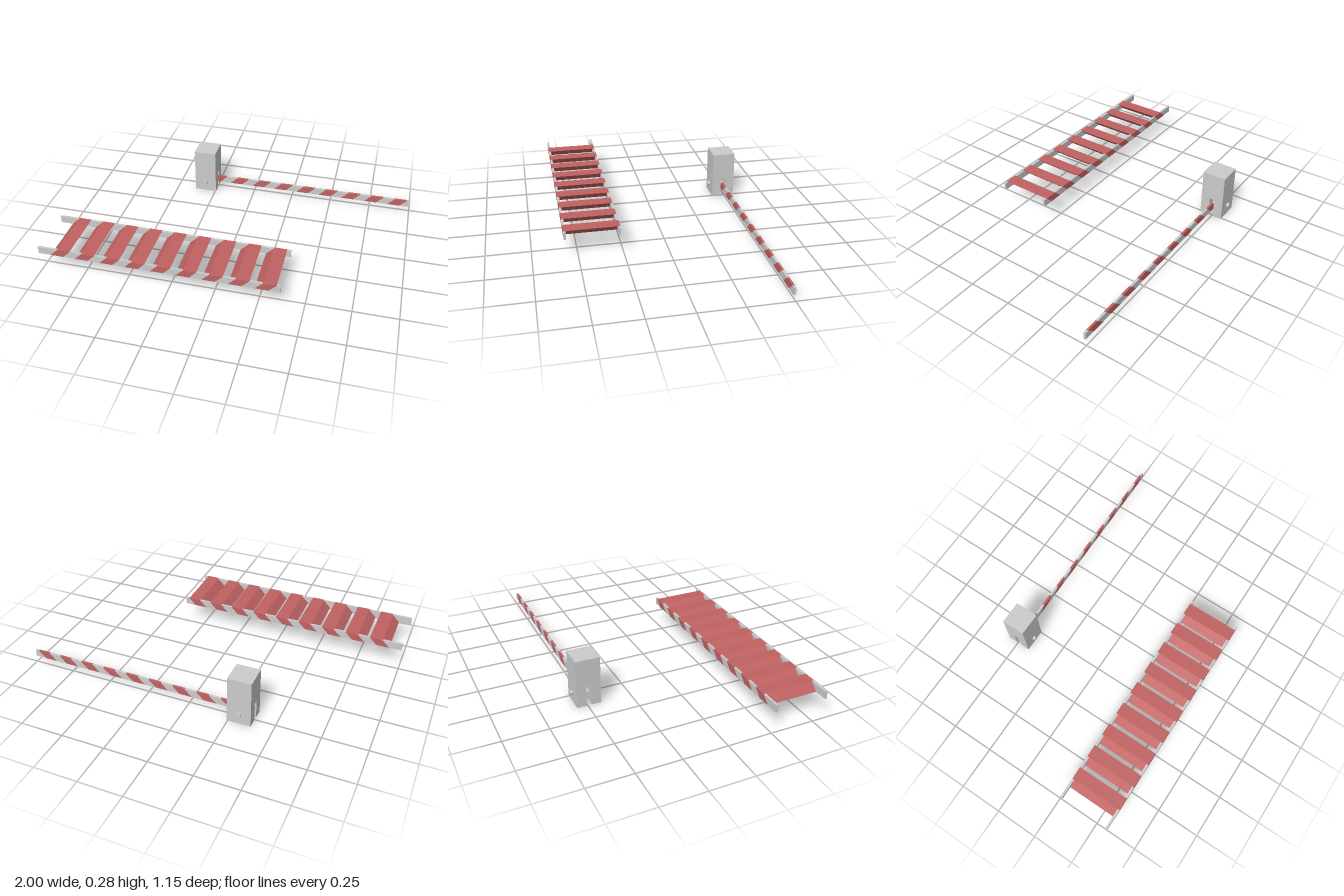
import * as THREE from 'three';

const grey = new THREE.MeshStandardMaterial({ color: 0xcccccc });
const red = new THREE.MeshStandardMaterial({ color: 0xc06262 });

const LENGTH = 1.375, HEIGHT = 0.042, THICK = 0.013;
const STRIPES = 9, PITCH = 0.1454, STRIPE = 0.075, FIRST = 0.072, SLANT = 0.043;

// Extrude a polygon in the xy plane, centred on z
function prism(name, points, depth, material) {
  const shape = new THREE.Shape(points.map(([x, y]) => new THREE.Vector2(x, y)));
  const geometry = new THREE.ExtrudeGeometry(shape, { depth, bevelEnabled: false });
  geometry.translate(0, 0, -depth / 2);
  const mesh = new THREE.Mesh(geometry, material);
  mesh.name = name;
  return mesh;
}

// Slanted four-sided block, given its bottom and top x ranges
function slantedBlock(name, b0, b1, t0, t1, depth, material) {
  return prism(name, [[b0, 0], [b1, 0], [t1, HEIGHT], [t0, HEIGHT]], depth, material);
}

// Grey sections of a striped bar, leaving slanted gaps for the red ones
function greySections(name) {
  const group = new THREE.Group();
  group.name = name;
  let bottom = 0, top = 0;
  for (let i = 0; i <= STRIPES; i++) {
    const last = i === STRIPES, x = FIRST + i * PITCH;
    group.add(slantedBlock('greySection', bottom, last ? LENGTH : x, top,
      last ? LENGTH : x + SLANT, THICK, grey));
    bottom = x + STRIPE;
    top = bottom + SLANT;
  }
  return group;
}

// Red slanted sections of the given depth
function redSections(name, depth) {
  const group = new THREE.Group();
  group.name = name;
  for (let i = 0; i < STRIPES; i++) {
    const x = FIRST + i * PITCH;
    group.add(slantedBlock('redSection', x, x + STRIPE, x + SLANT, x + STRIPE + SLANT, depth, red));
  }
  return group;
}

export function createModel() {
  const model = new THREE.Group();
  model.name = 'barrierSet';

  // Barrier: slotted post, axle and striped arm
  const barrier = new THREE.Group();
  barrier.name = 'barrier';
  barrier.position.set(-0.313, 0, -0.491);

  const w = 0.069, s = 0.014, slotTop = 0.113;
  const post = prism('post', [
    [-w, 0], [-s, 0], [-s, slotTop], [s, slotTop], [s, 0], [w, 0], [w, 0.28], [-w, 0.28],
  ], 0.136, grey);
  post.rotation.y = Math.PI / 2;

  const axle = new THREE.Mesh(new THREE.CylinderGeometry(0.014, 0.014, 0.167, 24), grey);
  axle.name = 'axle';
  axle.rotation.x = Math.PI / 2;
  axle.position.y = 0.06;

  const arm = new THREE.Group();
  arm.name = 'arm';
  arm.position.set(1.313 - LENGTH, 0.038, 0);
  arm.add(greySections('armGrey'), redSections('armRed', THICK));
  barrier.add(post, axle, arm);

  // Ladder: two striped rails joined by red slats
  const ladder = new THREE.Group();
  ladder.name = 'ladder';
  ladder.position.set(-1, 0.12, 0.42);
  const halfSpan = 0.155;
  for (const side of [-1, 1]) {
    const rail = greySections(side > 0 ? 'frontRail' : 'backRail');
    rail.position.z = side * (halfSpan - THICK / 2);
    ladder.add(rail);
  }
  ladder.add(redSections('slats', halfSpan * 2));

  model.add(barrier, ladder);
  return model;
}
